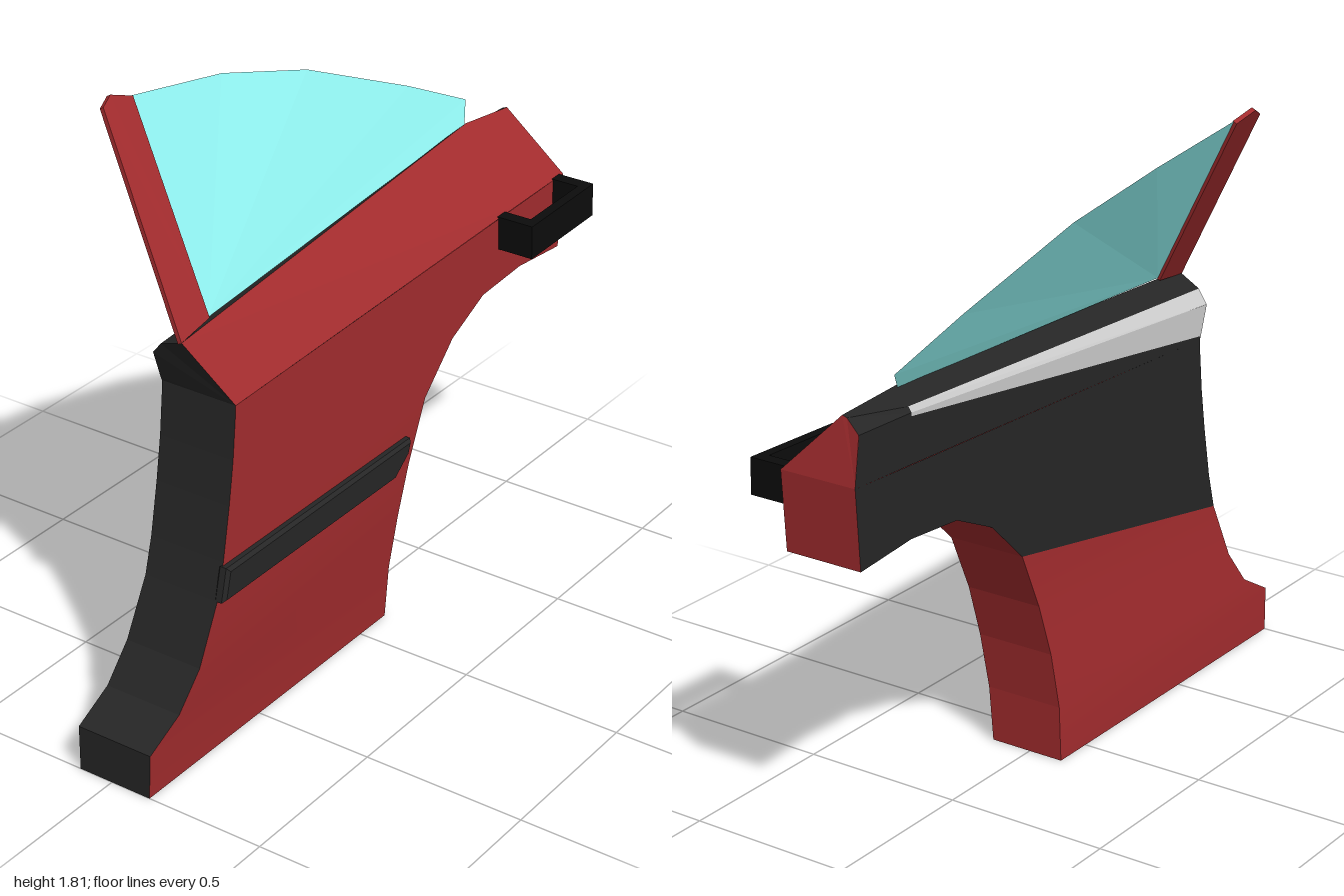
import * as THREE from 'three';
import { toCreasedNormals } from 'three/addons/utils/BufferGeometryUtils.js';

const material = (color) => new THREE.MeshStandardMaterial({ color, side: THREE.DoubleSide });
const red = material(0xa32c2e), black = material(0x262626), darkBlack = material(0x0c0c0c);
const grey = material(0xcccccc), cyan = material(0x92f4f2);

// Triangles between two rows of points
function strip(a, b, flip = false) {
  const out = [];
  for (let i = 0; i < a.length - 1; i++) {
    for (const t of [[a[i], b[i], a[i + 1]], [b[i], b[i + 1], a[i + 1]]]) {
      if (flip) t.reverse();
      out.push(...t);
    }
  }
  return out;
}

// Triangles of a convex polygon
function fan(p) {
  const out = [];
  for (let i = 1; i < p.length - 1; i++) out.push(p[0], p[i], p[i + 1]);
  return out;
}

function surface(points, crease = 0) {
  const g = new THREE.BufferGeometry();
  g.setAttribute('position', new THREE.Float32BufferAttribute(points.flat(), 3));
  g.computeVertexNormals();
  return crease ? toCreasedNormals(g, crease) : g;
}

// Linear lookup of x for a height
function lookup(table, y) {
  for (let i = 1; i < table.length; i++) {
    const [y0, x0] = table[i - 1], [y1, x1] = table[i];
    if (y <= y1) return x0 + (x1 - x0) * Math.max(0, (y - y0) / (y1 - y0));
  }
  return table[table.length - 1][1];
}

export function createModel() {
  const door = new THREE.Group();
  door.name = 'carDoor';
  const add = (name, geometry, mat) => {
    const m = new THREE.Mesh(geometry, mat);
    m.name = name;
    door.add(m);
    return m;
  };

  // Front and rear edges of the door as [z, y], from the bottom up
  const front = [[1, 0], [1, 0.14], [0.88, 0.21], [0.8, 0.32], [0.73, 0.5],
    [0.7, 0.61], [0.67, 0.77], [0.65, 0.9], [0.637, 1.03], [0.635, 1.06]];
  const rear = [[-0.125, 0], [-0.13, 0.17], [-0.15, 0.34], [-0.19, 0.5], [-0.27, 0.68],
    [-0.41, 0.815], [-0.57, 0.89], [-0.78, 0.905], [-0.985, 0.885], [-1, 1.12]];
  const outerX = [[0, 0.13], [0.14, 0.137], [0.32, 0.155], [0.5, 0.165]];
  const innerX = [[0, -0.11], [0.14, -0.11], [0.32, -0.095], [0.48, -0.08]];
  const place = (edge, table) => edge.map(([z, y]) => [lookup(table, y), y, z]);
  const fo = place(front, outerX), fi = place(front, innerX);
  const ro = place(rear, outerX), ri = place(rear, innerX);

  add('outerPanel', surface(strip(fo, ro), 0.5), red);
  add('lowerInnerPanel', surface(strip(fi.slice(0, 5), ri.slice(0, 5), true), 0.5), red);
  add('upperInnerPanel', surface(strip(fi.slice(4), ri.slice(4), true)), black);
  add('frontEdge', surface(strip(fi, fo)), black);
  add('wheelArchEdge', surface(strip(ro, ri)), red);
  add('bottomEdge', surface(strip([fo[0], ro[0]], [fi[0], ri[0]])), black);

  // Shoulder sections: waist, belt, rail, cap top, cap bottom, inner waist
  const s0 = [[0.165, 1.06, 0.635], [0.04, 1.235, 0.7], [-0.045, 1.2, 0.68],
    [-0.08, 1.16, 0.67], [-0.08, 1.07, 0.64], [-0.08, 1.06, 0.635]];
  const s1 = [[0.165, 1.112, -0.76], [-0.03, 1.32, -0.76], [-0.07, 1.27, -0.76],
    [-0.08, 1.255, -0.76], [-0.08, 1.245, -0.76], [-0.08, 1.112, -0.76]];
  const s2 = [[0.165, 1.12, -1], [-0.02, 1.3, -0.97], [-0.035, 1.295, -0.97],
    [-0.08, 1.26, -0.98], [-0.08, 1.25, -0.98], [-0.08, 1.12, -1]];
  const band = (i, j) => [
    ...strip(s0.slice(i, j + 1), s1.slice(i, j + 1)),
    ...strip(s1.slice(i, j + 1), s2.slice(i, j + 1))];
  add('shoulder', surface(band(0, 1)), red);
  add('windowSill', surface(band(1, 2)), black);
  add('sillTrim', surface(strip(s0.slice(2, 5), s1.slice(2, 5))), grey);
  add('rearSillTrim', surface(strip(s1.slice(2, 5), s2.slice(2, 5))), black);
  add('innerShoulder', surface(band(4, 5)), black);
  add('frontShoulderEnd', surface(fan(s0)), black);
  add('rearShoulderEnd', surface(fan([...s2].reverse())), red);

  // Slanted window pillar with a little thickness
  const pillar = [[0.04, 1.235, 0.7], [-0.275, 1.79, 0.605], [-0.283, 1.81, 0.565],
    [-0.268, 1.785, 0.49], [0.03, 1.25, 0.565]];
  const back = pillar.map(([x, y, z]) => [x - 0.012, y - 0.007, z]);
  const closed = (p) => [...p, p[0]];
  add('windowPillar', surface([
    ...fan([...pillar].reverse()), ...fan(back),
    ...strip(closed(pillar), closed(back))]), red);

  // Side window
  add('windowGlass', surface(fan([[0.025, 1.25, 0.565], [-0.035, 1.315, -0.76],
    [-0.065, 1.37, -0.81], [-0.115, 1.48, -0.58], [-0.195, 1.645, -0.19],
    [-0.25, 1.73, 0.13], [-0.272, 1.785, 0.49]])), cyan);

  // Protective moulding along the side
  const outline = new THREE.Shape([[-0.72, 0.51], [0.085, 0.51], [0.15, 0.56], [0.16, 0.59],
    [-0.7, 0.59]].map(([u, v]) => new THREE.Vector2(u, v)));
  const mouldingGeometry = new THREE.ExtrudeGeometry(outline, {
    depth: 0.02, bevelSize: 0.01, bevelThickness: 0.01, bevelSegments: 1 });
  mouldingGeometry.rotateY(Math.PI / 2);
  add('sideMoulding', mouldingGeometry, black).position.x = 0.16;

  // Door handle: a grip bar on two posts
  const handle = new THREE.Group();
  handle.name = 'handle';
  const box = (name, w, h, d, x, z) => {
    const m = new THREE.Mesh(new THREE.BoxGeometry(w, h, d), darkBlack);
    m.name = name;
    m.position.set(x, 0, z);
    handle.add(m);
  };
  box('handleGrip', 0.03, 0.105, 0.34, 0.265, 0);
  for (const s of [-1, 1]) box('handlePost', 0.1, 0.105, 0.04, 0.205, s * 0.15);
  handle.position.set(0, 1.066, -0.815);
  handle.rotation.x = 0.03;
  door.add(handle);

  return door;
}
